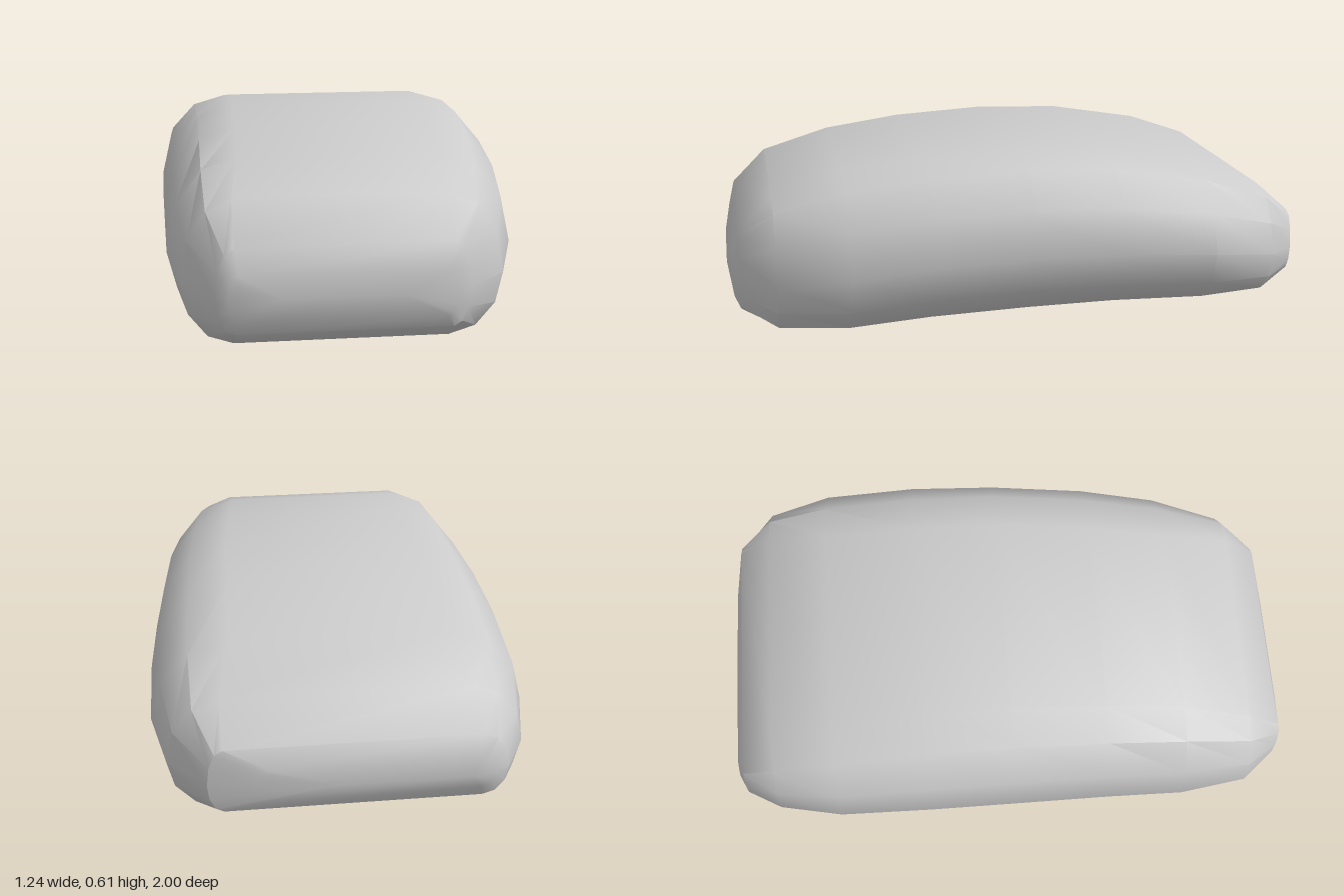
import * as THREE from 'three';
import { toCreasedNormals } from 'three/addons/utils/BufferGeometryUtils.js';

// Stations from front to back:
// z, right edge -x, left edge +x, flat from, flat to, top y, widest y, bottom y
const STATIONS = [
  [1.00, -0.27, 0.10, -0.27, 0.10, 0.20, 0.20, 0.20],
  [0.98, -0.43, 0.27, -0.40, 0.24, 0.27, 0.20, 0.12],
  [0.96, -0.47, 0.31, -0.41, 0.26, 0.35, 0.20, 0.08],
  [0.84, -0.57, 0.44, -0.41, 0.27, 0.47, 0.21, 0.01],
  [0.60, -0.61, 0.52, -0.38, 0.27, 0.55, 0.24, 0.00],
  [0.33, -0.615, 0.56, -0.37, 0.30, 0.59, 0.28, 0.03],
  [0.00, -0.62, 0.59, -0.36, 0.33, 0.61, 0.30, 0.05],
  [-0.30, -0.62, 0.61, -0.36, 0.34, 0.597, 0.30, 0.058],
  [-0.62, -0.61, 0.615, -0.37, 0.36, 0.54, 0.28, 0.055],
  [-0.84, -0.56, 0.57, -0.39, 0.40, 0.46, 0.25, 0.075],
  [-0.96, -0.49, 0.45, -0.41, 0.40, 0.355, 0.23, 0.135],
  [-0.985, -0.44, 0.30, -0.40, 0.26, 0.29, 0.23, 0.18],
  [-1.00, -0.37, 0.05, -0.37, 0.05, 0.23, 0.23, 0.23],
];
const STEPS = 3; // segments per rounded quarter

// Closed cross-section: flat top and bottom joined by elliptical sides
function section([z, xR, xL, fR, fL, top, mid, bottom]) {
  const points = [];
  for (let quarter = 0; quarter < 4; quarter++) {
    const onLeft = quarter === 0 || quarter === 3;
    const edge = onLeft ? xL : xR;
    const flat = onLeft ? fL : fR;
    const reach = quarter < 2 ? top - mid : mid - bottom;
    for (let i = 0; i <= STEPS; i++) {
      if (i === 0 && (quarter === 2 || quarter === 0)) continue; // shared side point
      const a = (quarter + i / STEPS) * Math.PI / 2;
      points.push(flat + (edge - flat) * Math.abs(Math.cos(a)), mid + reach * Math.sin(a), z);
    }
  }
  return points;
}

function loft(rings) {
  const n = rings[0].length / 3;
  const index = [];
  for (let r = 0; r < rings.length - 1; r++) {
    for (let i = 0; i < n; i++) {
      const a = r * n + i, b = r * n + (i + 1) % n;
      index.push(a, a + n, b, b, a + n, b + n);
    }
  }
  const geometry = new THREE.BufferGeometry();
  geometry.setAttribute('position', new THREE.Float32BufferAttribute(rings.flat(), 3));
  geometry.setIndex(index);
  return toCreasedNormals(geometry, 0.6);
}

export function createModel() {
  const group = new THREE.Group();
  group.name = 'archedPad';
  // Softly rounded arched body, narrower toward the front left
  const body = new THREE.Mesh(
    loft(STATIONS.map(section)),
    new THREE.MeshStandardMaterial({ color: 0xcccccc })
  );
  body.name = 'body';
  group.add(body);
  return group;
}
